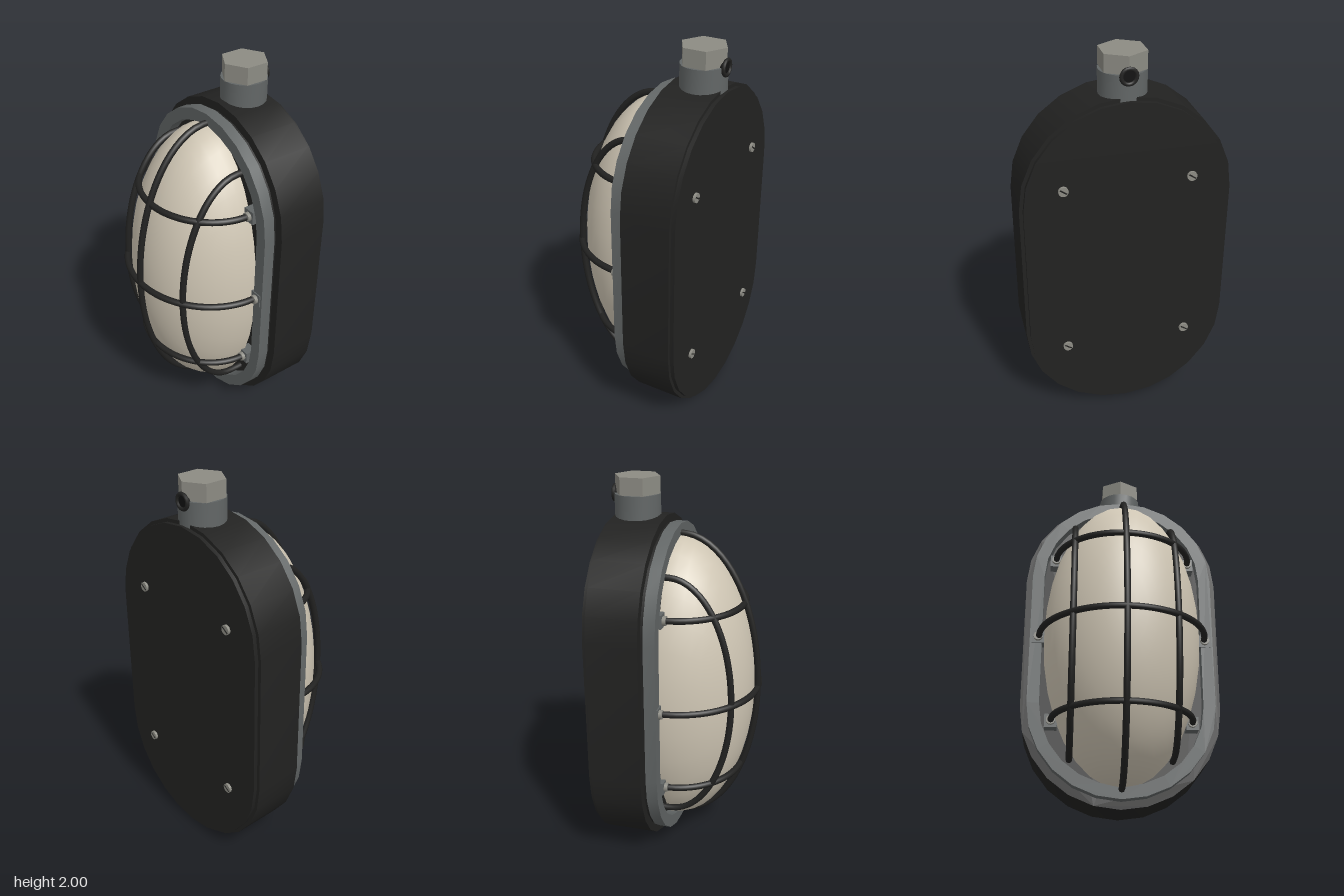
import * as THREE from 'three';
import { toCreasedNormals } from 'three/addons/utils/BufferGeometryUtils.js';

const CY = 0.902;    // height of the lamp's middle
const HALF = 0.37;   // half length of the straight sides
const DARK = 0x222221, GREY = 0x626666, PALE = 0x8c8b83, GLASS = 0xcfc6b4;

const material = (color) => new THREE.MeshStandardMaterial({ color, side: THREE.DoubleSide });

function add(group, name, geometry, color, x = 0, y = 0, z = 0) {
  const mesh = new THREE.Mesh(geometry, material(color));
  mesh.name = name;
  mesh.position.set(x, y, z);
  group.add(mesh);
  return mesh;
}

// Long outline with round ends
function stadium(r, Type = THREE.Shape) {
  const s = new Type();
  s.absarc(0, HALF, r, 0, Math.PI, false);
  s.absarc(0, -HALF, r, Math.PI, Math.PI * 2, false);
  s.closePath();
  return s;
}

// Slab between two depths, optionally with an opening
function slab(r, back, front, hole) {
  const shape = stadium(r);
  if (hole) shape.holes.push(stadium(hole, THREE.Path));
  const g = new THREE.ExtrudeGeometry(shape, { depth: front - back, bevelEnabled: false, curveSegments: 6 });
  g.translate(0, CY, back);
  return toCreasedNormals(g, 0.6);
}

// Bowed wire of the cage: half an ellipse with short straight feet
function wire(span, peak, vertical, offset) {
  const base = -0.03, pts = [];
  const put = (a, z) => pts.push(vertical
    ? new THREE.Vector3(offset, CY + a, z)
    : new THREE.Vector3(a, CY + offset, z));
  put(span, -0.1);
  for (let i = 0; i <= 20; i++) {
    const t = (i / 20) * Math.PI;
    put(span * Math.cos(t), base + (peak - base) * Math.sin(t));
  }
  put(-span, -0.1);
  return new THREE.TubeGeometry(new THREE.CatmullRomCurve3(pts), 48, 0.017, 8);
}

// Cylinder lying along z
const disc = (r, depth, sides = 16) => new THREE.CylinderGeometry(r, r, depth, sides).rotateX(Math.PI / 2);

export function createModel() {
  const lamp = new THREE.Group();
  lamp.name = 'bulkheadLamp';

  // Housing
  add(lamp, 'housing', slab(0.532, -0.375, -0.11), DARK);
  add(lamp, 'backPlate', slab(0.514, -0.396, -0.375), DARK);
  add(lamp, 'gasket', slab(0.487, -0.11, -0.094), DARK);
  add(lamp, 'frontRing', slab(0.495, -0.095, -0.035, 0.43), GREY);

  // Glass dome
  const dome = new THREE.SphereGeometry(1, 32, 12, 0, Math.PI * 2, 0, Math.PI / 2);
  dome.rotateX(Math.PI / 2).scale(0.42, 0.81, 0.42);
  add(lamp, 'glassDome', dome, GLASS, 0, CY, -0.055);

  // Wire cage
  const cage = new THREE.Group();
  cage.name = 'cage';
  lamp.add(cage);
  add(cage, 'middleUpright', wire(0.815, 0.385, true, 0), DARK);
  add(cage, 'middleCrossbar', wire(0.445, 0.385, false, 0), DARK);
  for (const s of [-1, 1]) {
    add(cage, 'sideUpright', wire(0.655, 0.297, true, s * 0.267), DARK);
    add(cage, 'outerCrossbar', wire(0.367, 0.303, false, s * 0.467), DARK);
  }

  // Brackets and collars holding the crossbars
  for (const side of [-1, 1]) {
    for (const row of [-1, 0, 1]) {
      const x = side * (row ? 0.367 : 0.45), y = CY + row * 0.467;
      add(cage, 'bracket', new THREE.BoxGeometry(0.066, 0.07, 0.075), GREY, x, y, -0.067);
      add(cage, 'collar', disc(0.024, 0.018), PALE, x, y, -0.021);
    }
  }

  // Cable entry on top
  const entry = new THREE.Group();
  entry.name = 'cableEntry';
  entry.position.z = -0.264;
  lamp.add(entry);
  const neck = toCreasedNormals(new THREE.CylinderGeometry(0.118, 0.118, 0.2, 20), 0.6);
  add(entry, 'neck', neck, GREY, 0, 1.81, 0);
  const nut = toCreasedNormals(new THREE.CylinderGeometry(0.12, 0.12, 0.09, 6), 0.3);
  add(entry, 'hexNut', nut, PALE, 0, 1.955, 0);
  add(entry, 'plug', disc(0.036, 0.04), 0x111111, 0, 1.905, -0.1);
  add(entry, 'plugRim', new THREE.TorusGeometry(0.037, 0.01, 8, 20), DARK, 0, 1.905, -0.119);

  // Slotted screws on the back
  for (const x of [-0.32, 0.32]) {
    for (const dy of [-0.467, 0.467]) {
      add(lamp, 'screw', disc(0.025, 0.014), PALE, x, CY + dy, -0.402);
      const slot = add(lamp, 'screwSlot', new THREE.BoxGeometry(0.042, 0.007, 0.002), DARK, x, CY + dy, -0.4092);
      slot.rotation.z = 0.6;
    }
  }

  return lamp;
}
